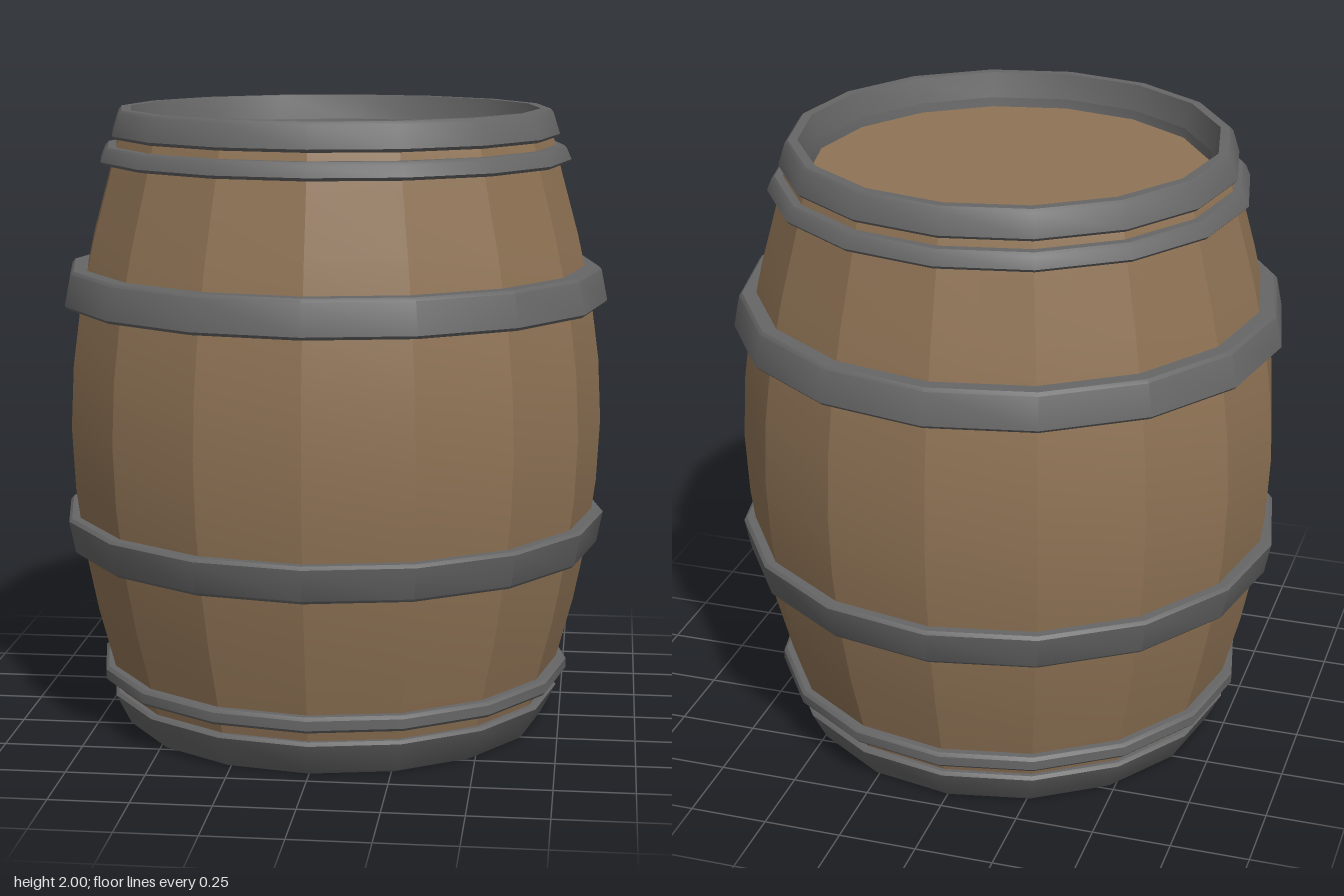
import * as THREE from 'three';
import { toCreasedNormals } from 'three/addons/utils/BufferGeometryUtils.js';

const SIDES = 16;
const wood = new THREE.MeshStandardMaterial({ color: 0x8f7355 });
const metal = new THREE.MeshStandardMaterial({ color: 0x666666 });

// Sixteen-sided turned part from [radius, y] pairs; edges sharper than crease stay hard
function turned(name, profile, material, crease) {
  const points = profile.map(([r, y]) => new THREE.Vector2(r, y));
  const geometry = toCreasedNormals(new THREE.LatheGeometry(points, SIDES), crease);
  const mesh = new THREE.Mesh(geometry, material);
  mesh.name = name;
  return mesh;
}

// Closed hoop with small bevels on its outer edges
function hoop(name, y0, y1, outer0, outer1, inner0, inner1) {
  const b = 0.01;
  return turned(name, [
    [inner0, y0], [outer0 - b, y0], [outer0, y0 + b],
    [outer1, y1 - b], [outer1 - b, y1], [inner1, y1], [inner0, y0],
  ], metal, 0.6);
}

function disc(name, radius, y, facing, material) {
  const geometry = new THREE.CircleGeometry(radius, SIDES);
  geometry.rotateX(-facing * Math.PI / 2);
  geometry.translate(0, y, 0);
  const mesh = new THREE.Mesh(geometry, material);
  mesh.name = name;
  return mesh;
}

export function createModel() {
  const barrel = new THREE.Group();
  barrel.name = 'barrel';

  // Bulging staves: flat facets around, smooth from bottom to top
  barrel.add(turned('staves', [
    [0.695, 0.05], [0.715, 0.12], [0.742, 0.22], [0.79, 0.4], [0.83, 0.6],
    [0.857, 0.8], [0.867, 1.0], [0.857, 1.2], [0.83, 1.4], [0.785, 1.6],
    [0.73, 1.8], [0.705, 1.9], [0.69, 1.94],
  ], wood, 0.3));

  // Recessed ends
  barrel.add(disc('lid', 0.64, 1.89, 1, wood));
  barrel.add(disc('base', 0.64, 0.09, -1, metal));

  // Rims, with inner walls narrowing towards the recessed ends
  barrel.add(hoop('topRim', 1.91, 2.0, 0.722, 0.7, 0.635, 0.66));
  barrel.add(hoop('bottomRim', 0, 0.115, 0.69, 0.738, 0.66, 0.63));
  barrel.add(turned('lidWall', [[0.636, 1.92], [0.63, 1.88]], metal, 0.6));

  // Hoops around the staves
  barrel.add(hoop('upperThinHoop', 1.83, 1.885, 0.76, 0.745, 0.7, 0.69));
  barrel.add(hoop('upperWideHoop', 1.38, 1.5, 0.882, 0.862, 0.81, 0.79));
  barrel.add(hoop('lowerWideHoop', 0.585, 0.705, 0.862, 0.882, 0.81, 0.82));
  barrel.add(hoop('lowerThinHoop', 0.155, 0.205, 0.77, 0.77, 0.7, 0.72));

  return barrel;
}
